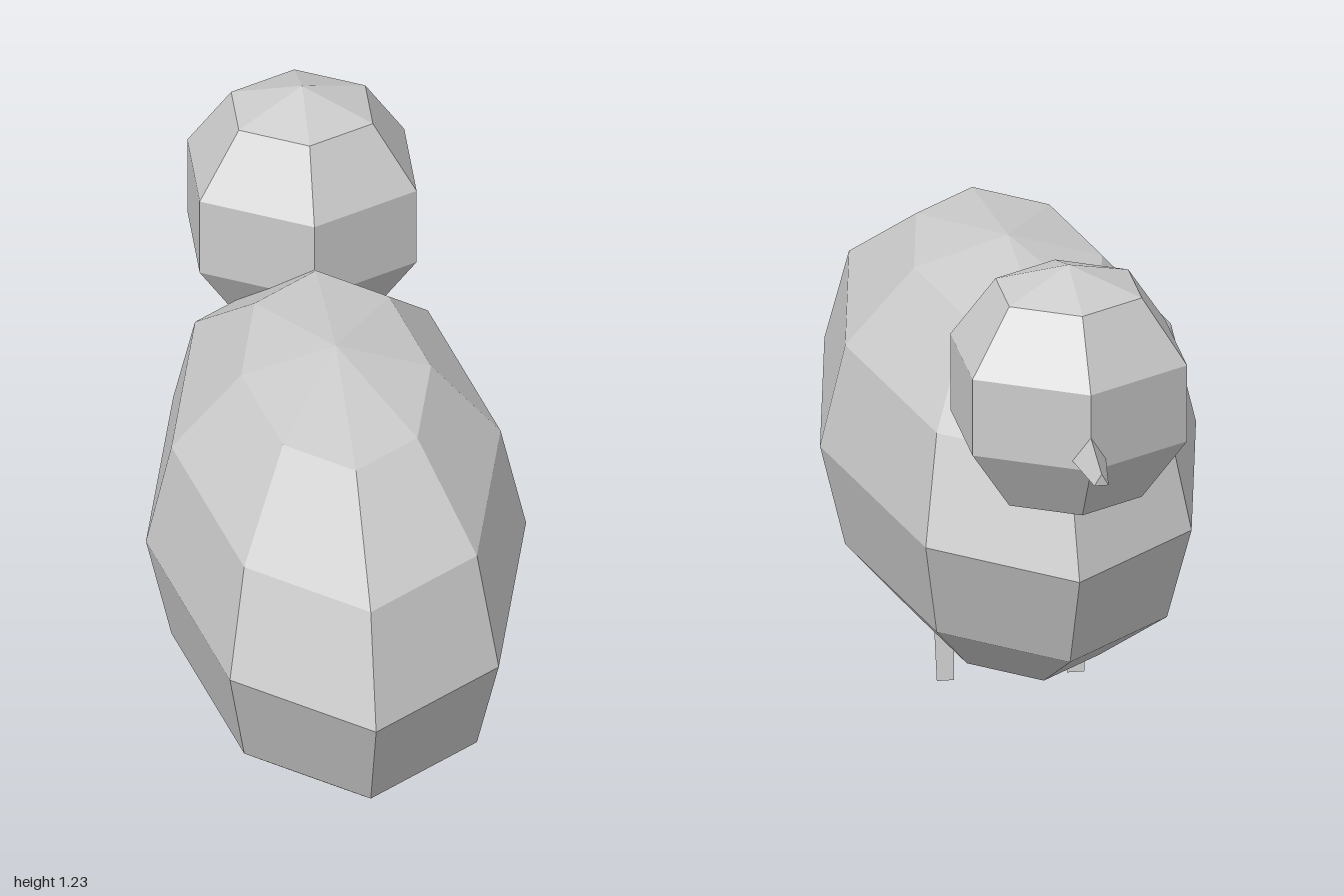
import * as THREE from 'three';

const material = new THREE.MeshStandardMaterial({ color: 0xcccccc, flatShading: true });

function part(parent, name, geometry) {
  const mesh = new THREE.Mesh(geometry, material);
  mesh.name = name;
  parent.add(mesh);
  return mesh;
}

// Tapered three-sided stick from (y0, z0) to (y1, z1) at a given x
function stick(parent, name, x, [y0, z0, r0], [y1, z1, r1]) {
  const length = Math.hypot(y1 - y0, z1 - z0);
  const mesh = part(parent, name, new THREE.CylinderGeometry(r1, r0, length, 3));
  mesh.position.set(x, (y0 + y1) / 2, (z0 + z1) / 2);
  mesh.rotation.x = Math.atan2(z1 - z0, y1 - y0);
  return mesh;
}

export function createModel() {
  const bird = new THREE.Group();
  bird.name = 'bird';

  // Long faceted body
  const body = part(bird, 'body', new THREE.SphereGeometry(1, 8, 6));
  body.scale.set(0.407, 0.457, 0.866);
  body.position.set(0, 0.55, 0.132);

  // Six-sided head with corners pointing along z
  const head = part(bird, 'head', new THREE.SphereGeometry(0.282, 6, 5));
  head.rotation.y = Math.PI / 2;
  head.position.set(0, 0.946, -0.602);

  // Beak with a flat underside
  stick(bird, 'beak', 0, [0.902, -0.8, 0.05], [0.886, -0.999, 0.018]);

  // Legs, leaning slightly
  for (const side of [1, -1]) {
    stick(bird, side > 0 ? 'leftLeg' : 'rightLeg', side * 0.141, [0.004, 0.112, 0.0215], [0.2, 0.142, 0.027]);
  }

  return bird;
}
